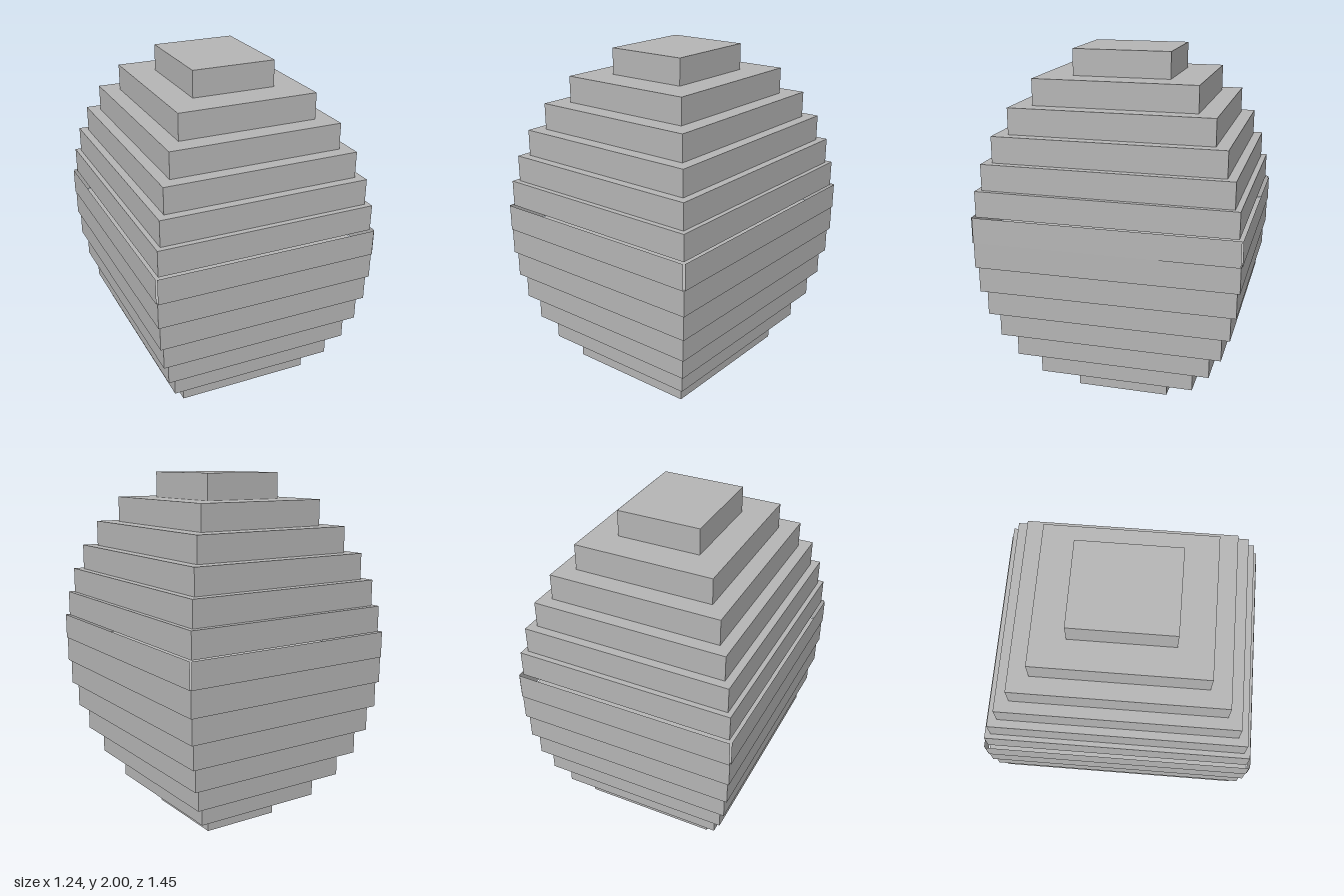
import * as THREE from 'three';

const TIERS = 14, H = 2 / TIERS;
const RX = 0.618, RZ = 0.721; // half sizes of the enclosing ellipsoid
const BAND = 7;               // the open band just above the middle

export function createModel() {
  const model = new THREE.Group();
  model.name = 'steppedEllipsoid';
  const grey = new THREE.MeshStandardMaterial({ color: 0xb4b4b4, side: THREE.DoubleSide });
  grey.name = 'grey';

  const add = (parent, geometry, name, x, y, z) => {
    const mesh = new THREE.Mesh(geometry, grey);
    mesh.name = name;
    mesh.position.set(x, y, z);
    parent.add(mesh);
    return mesh;
  };

  for (let i = 0; i < TIERS; i++) {
    const y = (i + 0.5) * H;
    const k = Math.sqrt(1 - (y - 1) ** 2);
    const w = RX * k, d = RZ * k;

    if (i !== BAND) {
      // Solid rectangular tier
      add(model, new THREE.BoxGeometry(2 * w, H, 2 * d), 'tier' + (i + 1), 0, y, 0);
      continue;
    }

    // Hollow band: four loose wall panels, slightly apart at the corners
    const band = new THREE.Group();
    band.name = 'openBand';
    model.add(band);
    const out = 0.006;
    for (const s of [1, -1]) {
      const end = add(band, new THREE.PlaneGeometry(2 * w, H), s > 0 ? 'frontPanel' : 'backPanel', 0, y, s * (d + out));
      end.rotation.y = s > 0 ? 0 : Math.PI;
      const side = add(band, new THREE.PlaneGeometry(2 * d, H), s > 0 ? 'leftPanel' : 'rightPanel', s * (w + out), y, 0);
      side.rotation.y = s * Math.PI / 2;
    }
  }
  return model;
}
